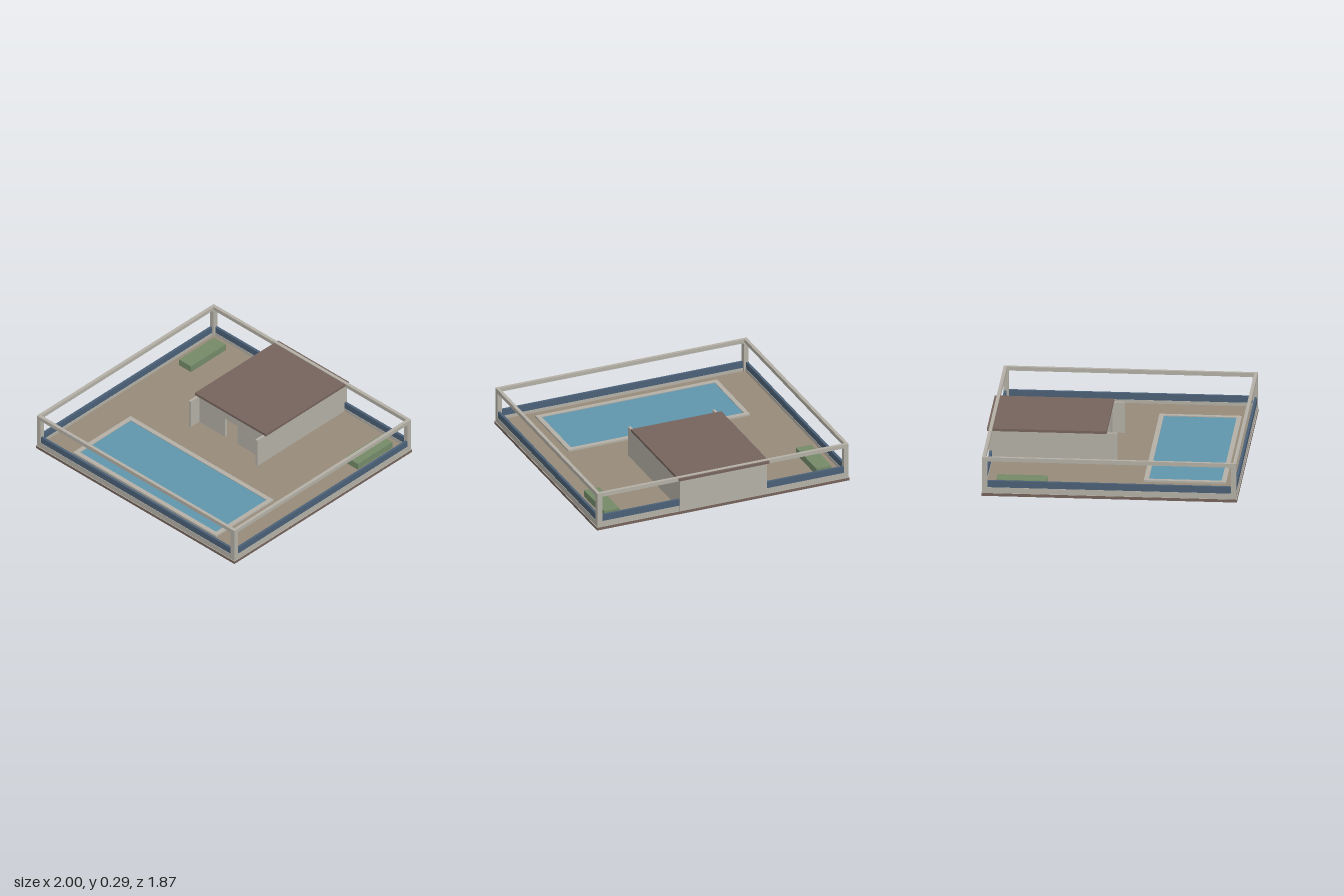
import * as THREE from 'three';

const mat = (name, color) => {
  const m = new THREE.MeshStandardMaterial({ color });
  m.name = name;
  return m;
};

export function createModel() {
  const model = new THREE.Group();
  model.name = 'poolHouse';

  const concrete = mat('concrete', 0xb3afa5);
  const maroon = mat('maroon', 0x75635c);
  const tan = mat('tan', 0x968a79);
  const glassBlue = mat('panelBlue', 0x4b6077);
  const water = mat('waterBlue', 0x5f94ac);
  const green = mat('hedgeGreen', 0x748a68);

  // Box given by its min and max on each axis
  const box = (name, material, x0, x1, y0, y1, z0, z1, parent = model) => {
    const mesh = new THREE.Mesh(new THREE.BoxGeometry(x1 - x0, y1 - y0, z1 - z0), material);
    mesh.position.set((x0 + x1) / 2, (y0 + y1) / 2, (z0 + z1) / 2);
    mesh.name = name;
    parent.add(mesh);
    return mesh;
  };

  // Horizontal plate with rectangular holes; rectangles are [x0, x1, z0, z1]
  const trace = (path, [x0, x1, z0, z1]) => {
    path.moveTo(x0, -z1);
    path.lineTo(x1, -z1);
    path.lineTo(x1, -z0);
    path.lineTo(x0, -z0);
    path.closePath();
    return path;
  };
  const plate = (name, materials, outer, holes, y0, y1) => {
    const shape = trace(new THREE.Shape(), outer);
    for (const h of holes) shape.holes.push(trace(new THREE.Path(), h));
    const geo = new THREE.ExtrudeGeometry(shape, { depth: y1 - y0, bevelEnabled: false });
    geo.rotateX(-Math.PI / 2);
    const mesh = new THREE.Mesh(geo, materials);
    mesh.position.y = y0;
    mesh.name = name;
    model.add(mesh);
  };

  // Foundation (maroon edge, concrete faces) and deck, with openings under the house
  const stairOpening = [-0.325, -0.15, -0.905, -0.31];
  const hatch = [0.11, 0.32, -0.9, -0.68];
  plate('foundation', [concrete, maroon], [-1, 1, -0.93, 0.93], [stairOpening, hatch], 0, 0.022);
  plate('deck', tan, [-0.975, 0.975, -0.905, 0.905], [stairOpening], 0.022, 0.04);

  // Pool: rim and water
  plate('poolRim', concrete, [-0.72, 0.72, 0.23, 0.83], [[-0.685, 0.685, 0.265, 0.795]], 0.04, 0.054);
  box('poolWater', water, -0.685, 0.685, 0.04, 0.048, 0.265, 0.795);

  // Perimeter fence: plinth, coloured panels, corner posts and top rail
  const X = 0.995, Z = 0.925, T = 0.025, P = 0.038;
  const fence = new THREE.Group();
  fence.name = 'fence';
  model.add(fence);
  for (const [part, m, y0, y1, inset] of [
    ['plinth', concrete, 0.022, 0.065, 0],
    ['panel', glassBlue, 0.065, 0.115, 0.003],
    ['topRail', concrete, 0.265, 0.295, 0],
  ]) {
    const t = T - inset;
    for (const s of [-1, 1]) {
      const zs = [s * (Z - inset), s * (Z - t)].sort((a, b) => a - b);
      const xs = [s * (X - inset), s * (X - t)].sort((a, b) => a - b);
      box(part + (s > 0 ? 'Front' : 'Back'), m, -X + inset, X - inset, y0, y1, zs[0], zs[1], fence);
      box(part + (s > 0 ? 'Left' : 'Right'), m, xs[0], xs[1], y0, y1, -Z + T, Z - T, fence);
    }
  }
  for (const sx of [-1, 1]) for (const sz of [-1, 1]) {
    const post = box('cornerPost', concrete, 0, P, 0.022, 0.265, 0, P, fence);
    post.position.x = sx * (X - P / 2);
    post.position.z = sz * (Z - P / 2);
  }

  // House walls: sides run forward as wing walls, front has a doorway
  const house = new THREE.Group();
  house.name = 'house';
  model.add(house);
  box('sideWallRight', concrete, -0.345, -0.325, 0.022, 0.272, -0.925, 0.01, house);
  box('sideWallLeft', concrete, 0.325, 0.345, 0.022, 0.272, -0.925, 0.01, house);
  box('backWall', concrete, -0.345, 0.345, 0.022, 0.272, -0.929, -0.907, house);
  box('frontWallRight', concrete, -0.325, -0.065, 0.04, 0.272, -0.1, -0.08, house);
  box('frontWallLeft', concrete, 0.06, 0.325, 0.04, 0.272, -0.1, -0.08, house);
  box('doorLintel', concrete, -0.065, 0.06, 0.205, 0.272, -0.1, -0.08, house);
  box('roof', maroon, -0.36, 0.355, 0.272, 0.291, -0.94, -0.07, house);

  // Planters in the back corners
  for (const s of [-1, 1]) {
    const planter = box('planter', green, -0.06, 0.06, 0.04, 0.092, -0.83, -0.465);
    planter.position.x = s * 0.84;
  }

  return model;
}
